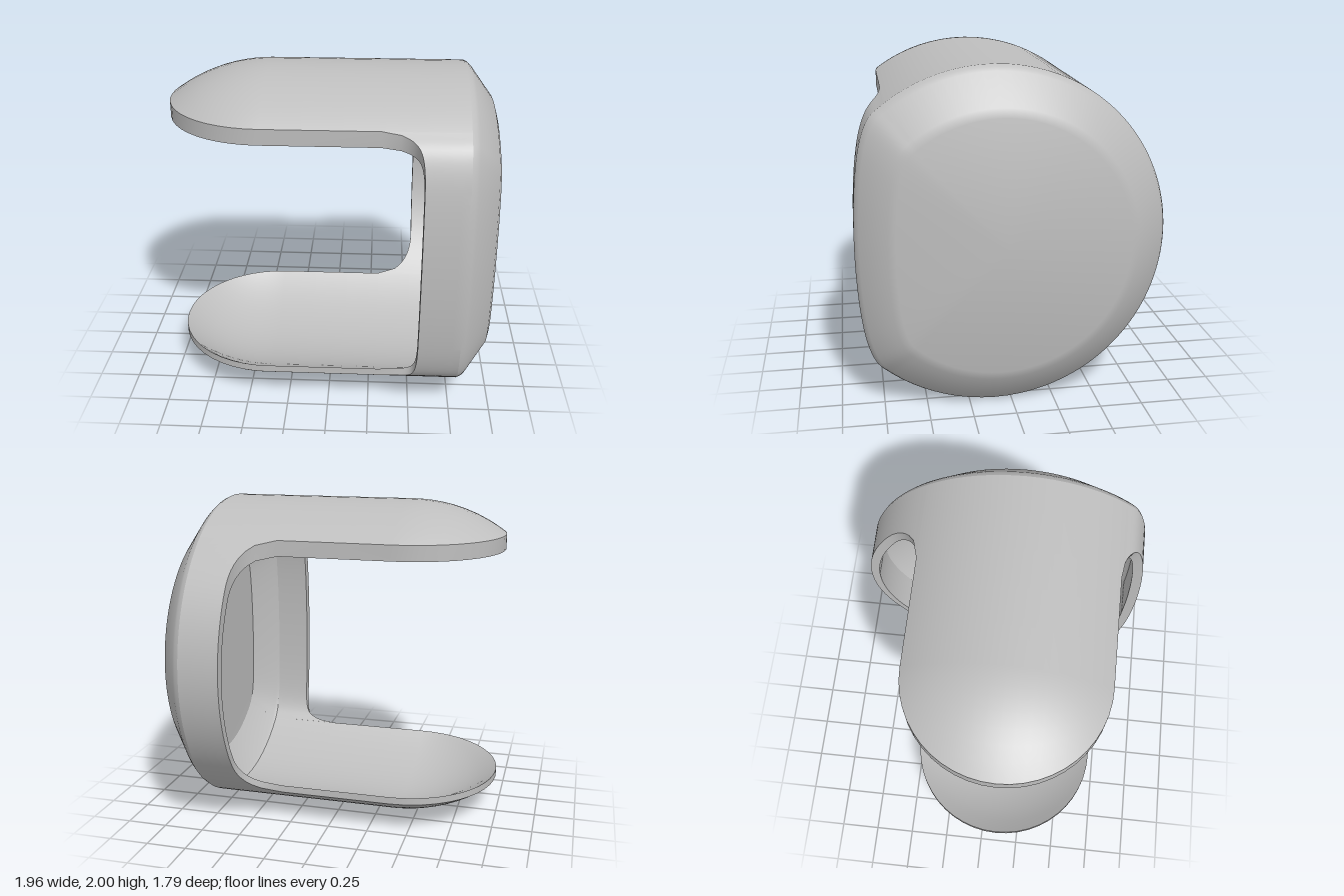
import * as THREE from 'three';
import { toCreasedNormals } from 'three/addons/utils/BufferGeometryUtils.js';

const ZC = 0.1, HALF = 0.6, BEND = -0.38; // tongue centre line, half width, start of its domed tip
const N = 24;

// Closed cross-section in (z, y): top tongue, flattened front, bottom tongue, round back
function section(radius, yc, frontHalf) {
  const pts = [];
  const tongue = (side) => {
    for (let i = 0; i <= N; i++) {
      const dz = -side * HALF * Math.cos(Math.PI * i / N);
      pts.push({ part: 'tongue', side, dz, z: ZC + dz, y: yc + side * Math.sqrt(radius ** 2 - dz ** 2) });
    }
  };
  tongue(1);
  const mirrored = frontHalf.slice(0, -1).reverse().map(([z, h]) => [z, -h]);
  const curve = new THREE.CatmullRomCurve3(
    [...frontHalf, ...mirrored].map(([z, h]) => new THREE.Vector3(0, yc + h, z)));
  for (let i = 0; i <= 40; i++) {
    const p = curve.getPoint(i / 40);
    pts.push({ part: 'front', dz: p.z - ZC, z: p.z, y: p.y });
  }
  tongue(-1);
  const a = Math.asin(HALF / radius);
  for (let i = 0; i <= 40; i++) {
    const t = Math.PI + a + (Math.PI - 2 * a) * i / 40;
    const dz = radius * Math.sin(t);
    pts.push({ part: 'back', dz, z: ZC + dz, y: yc + radius * Math.cos(t) });
  }
  pts.push(pts[0]);
  return pts;
}

// Where the open edge lies along x for a section point
function rimX(p) {
  if (p.part === 'tongue') return BEND - Math.sqrt(Math.max(0, HALF ** 2 - p.dz ** 2));
  const h = p.part === 'front' ? 0.16 : 0.24;
  const t = THREE.MathUtils.clamp((Math.abs(p.dz) - HALF) / h, 0, 1);
  return 0.3 + 0.24 * Math.sqrt(1 - (1 - t) ** 2);
}

// Rows of points from the open edge to the closed end
function surfaceRows(pts, radius, yc, rings, rims) {
  const rows = [];
  const wallEnd = rings[0][0];
  const at = (p, x) => {
    let y = p.y;
    if (x < BEND) y = yc + p.side * Math.sqrt(radius ** 2 - p.dz ** 2 - (x - BEND) ** 2);
    return new THREE.Vector3(x, y, p.z);
  };
  for (let i = 0; i <= 10; i++) { // domed tip
    const s = Math.sin(i / 10 * Math.PI / 2);
    rows.push(pts.map((p, k) => at(p, rims[k] < BEND ? rims[k] + (BEND - rims[k]) * s : rims[k])));
  }
  for (let i = 0; i <= 5; i++) { // straight wall
    rows.push(pts.map((p, k) => {
      const start = Math.max(BEND, rims[k]);
      return at(p, start + (wallEnd - start) * i / 5);
    }));
  }
  for (const [x, s] of rings) { // bevel and end cap
    rows.push(pts.map((p) => new THREE.Vector3(x, yc + (p.y - yc) * s, 0.04 + (p.z - 0.04) * s)));
  }
  return rows;
}

// Skin between rows of points, skipping collapsed triangles
function skin(rows, flip, crease) {
  const pos = [];
  const tri = (a, b, c) => {
    const n = b.clone().sub(a).cross(c.clone().sub(a));
    if (n.length() < 1e-8) return;
    for (const v of flip ? [a, c, b] : [a, b, c]) pos.push(v.x, v.y, v.z);
  };
  for (let r = 0; r < rows.length - 1; r++) {
    for (let k = 0; k < rows[r].length - 1; k++) {
      const a = rows[r][k], b = rows[r][k + 1], c = rows[r + 1][k], d = rows[r + 1][k + 1];
      tri(a, b, c);
      tri(b, d, c);
    }
  }
  const g = new THREE.BufferGeometry();
  g.setAttribute('position', new THREE.Float32BufferAttribute(pos, 3));
  return toCreasedNormals(g, crease);
}

export function createModel() {
  const group = new THREE.Group();
  group.name = 'openCapShell';
  const grey = new THREE.MeshStandardMaterial({ color: 0xbebebe, side: THREE.DoubleSide });
  grey.name = 'light grey';

  const outerPts = section(1, 1, [[0.7, 0.8], [0.78, 0.73], [0.83, 0.62], [0.87, 0.4], [0.89, 0]]);
  const innerPts = section(0.945, 0.975, [[0.7, 0.73], [0.745, 0.67], [0.78, 0.58], [0.81, 0.38], [0.825, 0]]);
  const rims = outerPts.map(rimX);
  const outer = surfaceRows(outerPts, 1, 1,
    [[0.79, 1], [0.815, 0.988], [0.835, 0.968], [0.965, 0.79], [0.98, 0.74], [0.98, 0]], rims);
  const inner = surfaceRows(innerPts, 0.945, 0.975,
    [[0.76, 1], [0.78, 0.985], [0.91, 0.79], [0.915, 0]], rims);

  const add = (name, geometry) => {
    const mesh = new THREE.Mesh(geometry, grey);
    mesh.name = name;
    group.add(mesh);
  };
  add('outerShell', skin(outer, false, 0.4));
  add('innerLining', skin(inner, true, 0.4));
  // Edge joining both walls around the opening
  add('rim', skin([outer[0], inner[0]], true, 0.6));
  return group;
}
